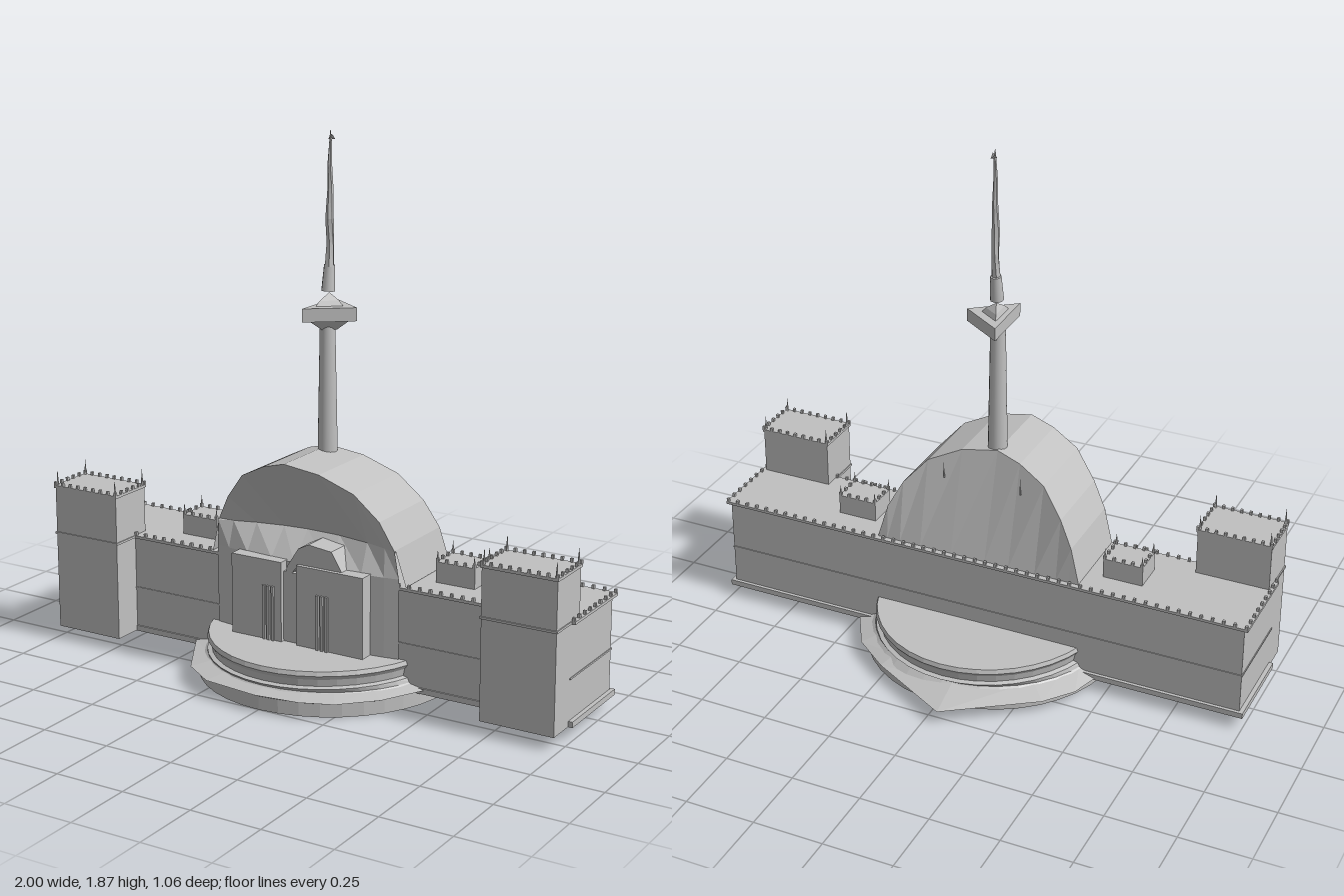
import * as THREE from 'three';

const stone = new THREE.MeshStandardMaterial({ color: 0xc0c0c0, side: THREE.DoubleSide });
stone.name = 'pale stone';

function add(parent, name, geo, x = 0, y = 0, z = 0) {
  const m = new THREE.Mesh(geo, stone);
  m.name = name;
  m.position.set(x, y, z);
  parent.add(m);
  return m;
}

// Box given by its limits
function block(parent, name, x0, x1, y0, y1, z0, z1) {
  return add(parent, name, new THREE.BoxGeometry(x1 - x0, y1 - y0, z1 - z0),
    (x0 + x1) / 2, (y0 + y1) / 2, (z0 + z1) / 2);
}

// Faceted skin across rings of [x, y, z] points with equal counts
function loft(rings, closed) {
  const pos = [];
  const n = rings[0].length;
  for (let r = 0; r < rings.length - 1; r++) {
    for (let i = 0; i < (closed ? n : n - 1); i++) {
      const j = (i + 1) % n;
      const a = rings[r][i], b = rings[r][j], c = rings[r + 1][j], d = rings[r + 1][i];
      pos.push(...a, ...b, ...c, ...a, ...c, ...d);
    }
  }
  const g = new THREE.BufferGeometry();
  g.setAttribute('position', new THREE.Float32BufferAttribute(pos, 3));
  g.computeVertexNormals();
  return g;
}

// Row of tiny merlons round a rectangular roof
function battlements(parent, x0, x1, y, z0, z1, step) {
  const spots = [];
  const nx = Math.round((x1 - x0) / step), nz = Math.round((z1 - z0) / step);
  for (let i = 0; i <= nx; i++) {
    const x = x0 + (x1 - x0) * i / nx;
    spots.push([x, z0], [x, z1]);
  }
  for (let i = 1; i < nz; i++) {
    const z = z0 + (z1 - z0) * i / nz;
    spots.push([x0, z], [x1, z]);
  }
  const geo = new THREE.BoxGeometry(0.009, 0.013, 0.009);
  const row = new THREE.Group();
  row.name = 'battlements';
  spots.forEach(([x, z]) => add(row, 'merlon', geo, x, y + 0.006, z));
  parent.add(row);
}

// Thin spikes at four corners
function pinnacles(parent, x0, x1, y, z0, z1, h) {
  for (const x of [x0, x1]) for (const z of [z0, z1])
    add(parent, 'pinnacle', new THREE.ConeGeometry(0.005, h, 5), x, y + h / 2, z);
}

function buildWings(g) {
  block(g, 'mainHall', -0.985, 0.985, 0.05, 0.395, -0.118, 0.195);
  block(g, 'hallPlinth', -1, 1, 0.045, 0.065, -0.13, 0.2);
  block(g, 'hallCornice', -1, 1, 0.393, 0.403, -0.13, 0.2);
  block(g, 'stringCourse', -0.988, 0.988, 0.205, 0.211, -0.121, 0.198);
  battlements(g, -0.993, 0.993, 0.403, -0.125, 0.195, 0.04);
  for (const s of [-1, 1]) {
    const side = new THREE.Group();
    side.name = s > 0 ? 'leftTowers' : 'rightTowers';
    const span = (a, b) => (s > 0 ? [a, b] : [-b, -a]);
    // corner tower
    const [a, b] = span(0.72, 0.985);
    block(side, 'cornerTower', a, b, 0.046, 0.572, 0.135, 0.305);
    block(side, 'towerBand', a - 0.004, b + 0.004, 0.395, 0.403, 0.131, 0.309);
    block(side, 'towerCornice', a - 0.004, b + 0.004, 0.566, 0.576, 0.131, 0.309);
    battlements(side, a, b, 0.576, 0.135, 0.305, 0.033);
    pinnacles(side, a + 0.006, b - 0.006, 0.574, 0.14, 0.3, 0.06);
    // roof turret
    const [c, d] = span(0.44, 0.585);
    block(side, 'roofTurret', c, d, 0.4, 0.475, -0.025, 0.09);
    battlements(side, c + 0.004, d - 0.004, 0.475, -0.021, 0.086, 0.033);
    pinnacles(side, c + 0.004, d - 0.004, 0.475, -0.021, 0.086, 0.043);
    g.add(side);
  }
}

function buildBase(g) {
  const profile = [[0, 0.04], [0.42, 0.015], [0.46, 0], [0.46, 0.05], [0.43, 0.075],
    [0.42, 0.09], [0.405, 0.095], [0.41, 0.12], [0.42, 0.135], [0.415, 0.15], [0, 0.152]];
  const geo = loft(profile.map(([r, y]) => Array.from({ length: 40 }, (_, i) => {
    const t = i / 40 * Math.PI * 2;
    return [r * Math.cos(t), y, r * (y > 0.08 ? 1.07 : 1) * Math.sin(t)];
  })), true);
  add(g, 'roundPodium', geo, 0, 0, 0.04);
  // ragged skirt with a point at the back
  const edge = [[0.46, 0.2], [0.38, 0.35], [0.27, 0.46], [0.16, 0.505], [0, 0.525], [-0.21, 0.5],
    [-0.33, 0.42], [-0.46, 0.2], [-0.465, 0.04], [-0.46, -0.13], [-0.43, -0.23], [-0.35, -0.33],
    [-0.05, -0.535], [0.25, -0.37], [0.38, -0.27], [0.46, -0.13], [0.465, 0.04]];
  const ring = (r, y) => edge.map(([x, z]) => {
    const l = Math.hypot(x, z - 0.04);
    return [x / l * r, y, 0.04 + (z - 0.04) / l * r];
  });
  const outer = edge.map(([x, z]) => [x, z > 0 ? 0.06 : 0.05, z]);
  add(g, 'podiumSkirt', loft([ring(0.42, 0.075), outer, ring(0.44, 0.038)], true));
}

function buildShell(g) {
  const arch = [[-0.385, 0.405], [-0.35, 0.53], [-0.3, 0.62], [-0.22, 0.715], [-0.12, 0.765],
    [-0.03, 0.79], [0.1, 0.77], [0.22, 0.715], [0.3, 0.625], [0.35, 0.53], [0.385, 0.405]];
  const rise = y => (y - 0.4) / 0.39;
  const back = arch.map(([x, y]) => [x, y, -0.11 + 0.11 * rise(y) ** 2]);
  const front = arch.map(([x, y]) => [x, y, 0.195 + 0.095 * rise(y) ** 2]);
  add(g, 'shellRoof', loft([front, back], false));
  // back face, filled down to its foot
  add(g, 'shellBack', loft([back, arch.map(([x]) => [x, 0.4, -0.11])], false));
  // hollow vault under the front arch
  const upper = front.slice(1, -1);
  const line = upper.map(([x]) => [x, 0.525, 0.21 - 0.07 * (1 - (x / 0.35) ** 2)]);
  add(g, 'shellVault', loft([upper, line], false));
  // canopy sloping forward and curved entrance wall
  const eave = line.map(([x]) => [x * 1.03, 0.43, 0.2 + 0.03 * (1 - (x / 0.35) ** 2)]);
  const foot = eave.map(([x, , z]) => [x, 0.14, z]);
  add(g, 'entranceWall', loft([line, eave, foot], false));
  for (const x of [-0.14, 0.15])
    add(g, 'shellSpike', new THREE.ConeGeometry(0.004, 0.06, 5), x, 0.7, -0.055);
}

function buildEntrance(g) {
  block(g, 'rightDoorBlock', -0.26, -0.06, 0.145, 0.435, 0.15, 0.265);
  block(g, 'leftDoorBlock', 0.0, 0.26, 0.145, 0.435, 0.15, 0.265);
  block(g, 'doorRecess', -0.06, 0.0, 0.145, 0.4, 0.15, 0.25);
  // faceted hood over the middle
  const hood = new THREE.Shape([[-0.06, 0.36], [-0.045, 0.42], [0, 0.49], [0.04, 0.51],
    [0.13, 0.5], [0.17, 0.435], [0, 0.43]].map(p => new THREE.Vector2(...p)));
  add(g, 'entranceHood', new THREE.ExtrudeGeometry(hood, { depth: 0.1, bevelEnabled: false }), 0, 0, 0.15);
  // narrow ribs framing each door
  for (const c of [-0.11, 0.103])
    for (const dx of [-0.018, 0, 0.018])
      block(g, 'doorRib', c + dx - 0.005, c + dx + 0.005, 0.15, 0.345, 0.263, 0.272);
}

function buildMast(g) {
  add(g, 'mastColumn', new THREE.CylinderGeometry(0.026, 0.035, 0.5, 16), -0.012, 1.0, 0.04);
  // three-cornered lookout with a tapered underside and peak
  const tri = (k, y) => [[-0.05, -0.068], [-0.045, 0.148], [0.1, 0.035]]
    .map(([x, z]) => [-0.008 + (x + 0.008) * k, y, 0.035 + (z - 0.035) * k]);
  add(g, 'lookout', loft([tri(0.28, 1.205), tri(0.72, 1.24), tri(1, 1.242), tri(1, 1.288),
    tri(0.5, 1.288), tri(0.36, 1.305), tri(0.02, 1.328)], true));
  const socket = add(g, 'spireSocket', new THREE.CylinderGeometry(0.019, 0.024, 0.088, 10), -0.004, 1.38, 0.044);
  socket.rotation.x = -0.1;
  // slightly crooked spire
  const stops = [[0.017, 1.42, 0.045], [0.013, 1.5, 0.038], [0.014, 1.58, 0.043],
    [0.01, 1.68, 0.037], [0.008, 1.76, 0.041], [0.005, 1.84, 0.035], [0.001, 1.872, 0.037]];
  add(g, 'spire', loft(stops.map(([r, y, z], k) => Array.from({ length: 6 }, (_, i) => {
    const t = i / 6 * Math.PI * 2 + k * 0.2;
    return [-0.002 + r * Math.cos(t), y, z + r * Math.sin(t)];
  })), true));
  add(g, 'spireTip', new THREE.TetrahedronGeometry(0.014), 0, 1.85, 0.032);
}

export function createModel() {
  const model = new THREE.Group();
  model.name = 'exhibitionPalace';
  const parts = { wings: buildWings, podium: buildBase, shell: buildShell, entrance: buildEntrance, mast: buildMast };
  for (const [name, build] of Object.entries(parts)) {
    const g = new THREE.Group();
    g.name = name;
    build(g);
    model.add(g);
  }
  return model;
}
